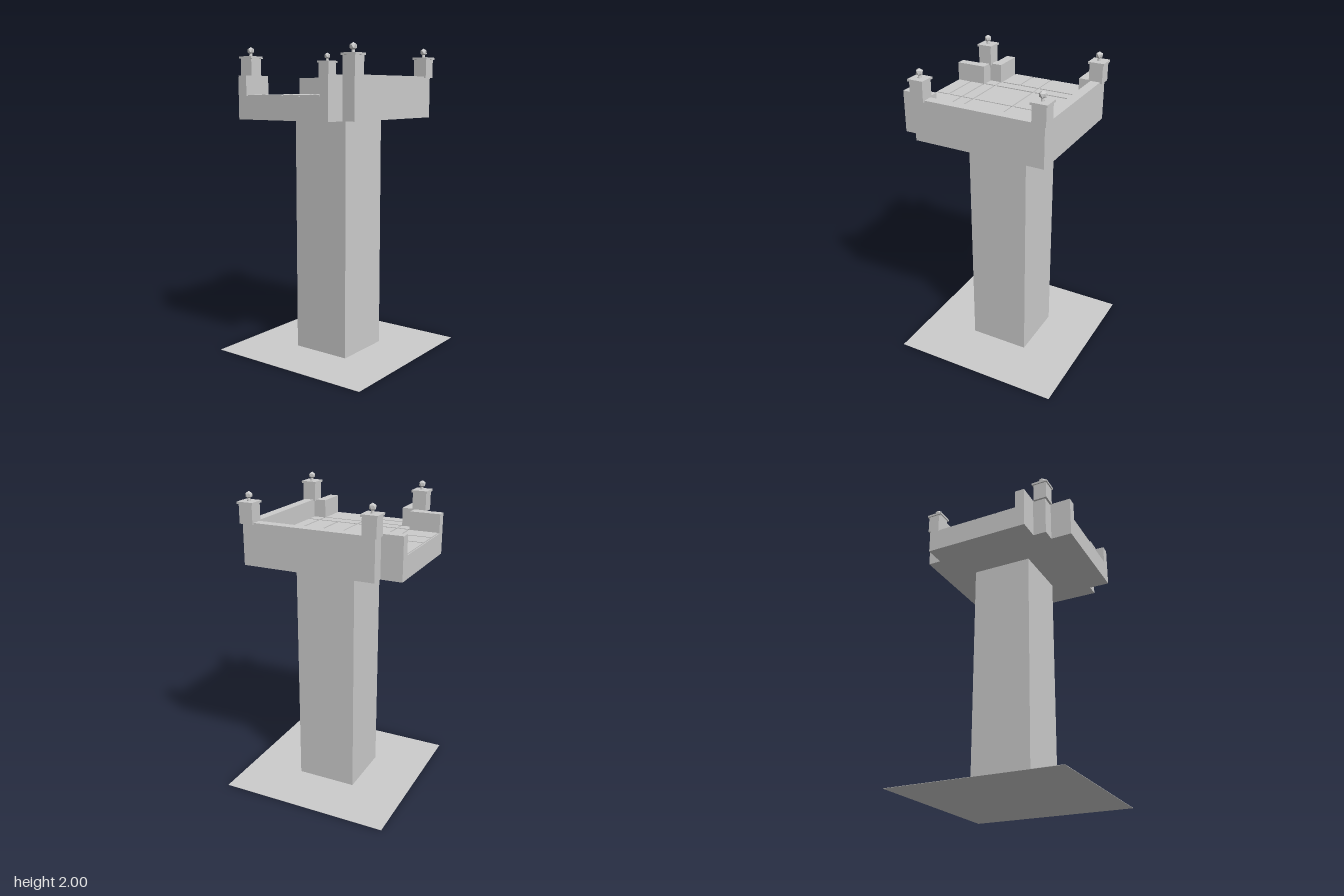
import * as THREE from 'three';

const stone = new THREE.MeshStandardMaterial({ color: 0xcccccc });
stone.name = 'stone';

export function createModel() {
  const root = new THREE.Group();
  root.name = 'watchtower';

  const add = (name, geometry, parent = root) => {
    const mesh = new THREE.Mesh(geometry, stone);
    mesh.name = name;
    parent.add(mesh);
    return mesh;
  };
  // box from its extents
  const box = (name, x0, x1, y0, y1, z0, z1, parent) =>
    add(name, new THREE.BoxGeometry(x1 - x0, y1 - y0, z1 - z0)
      .translate((x0 + x1) / 2, (y0 + y1) / 2, (z0 + z1) / 2), parent);
  // plan outline of [x, z] points raised between two heights
  const plan = (name, points, y0, y1) => {
    const shape = new THREE.Shape(points.map(([x, z]) => new THREE.Vector2(x, z)));
    const geometry = new THREE.ExtrudeGeometry(shape, { depth: y1 - y0, bevelEnabled: false });
    return add(name, geometry.rotateX(Math.PI / 2).translate(0, y1, 0));
  };

  // ground sheet and shaft
  box('groundPlate', -0.568, 0.568, 0, 0.002, -0.568, 0.568);
  box('shaft', -0.2, 0.2, 0, 1.55, -0.2, 0.2);

  // platform: floor, parapet, and the separate corner between the two open wings
  const bottom = 1.55, floorTop = 1.694, tileTop = 1.701, wallTop = 1.818;
  plan('floor', [
    [-0.568, -0.284], [-0.368, -0.284], [-0.368, -0.368], [0.368, -0.368],
    [0.368, 0.368], [0.284, 0.368], [0.284, 0.568], [-0.284, 0.568],
    [-0.284, 0.368], [-0.368, 0.368], [-0.368, 0.284], [-0.568, 0.284],
  ], bottom, floorTop);
  plan('parapet', [
    [-0.568, -0.346], [-0.432, -0.346], [-0.432, -0.432], [0.432, -0.432],
    [0.432, 0.432], [0.346, 0.432], [0.346, 0.568], [0.284, 0.568],
    [0.284, 0.368], [0.368, 0.368], [0.368, -0.368], [-0.368, -0.368],
    [-0.368, -0.284], [-0.568, -0.284],
  ], bottom, wallTop);
  plan('cornerParapet', [
    [-0.568, 0.346], [-0.432, 0.346], [-0.432, 0.432], [-0.346, 0.432],
    [-0.346, 0.568], [-0.284, 0.568], [-0.284, 0.368], [-0.368, 0.368],
    [-0.368, 0.284], [-0.568, 0.284],
  ], bottom, wallTop);

  // paving: each row is a z range with the x ranges of its slabs
  const wing = [-0.562, -0.374], edgeL = [-0.361, -0.291], midL = [-0.277, -0.004];
  const midR = [0.006, 0.279], edgeR = [0.292, 0.362];
  const halfA = [0.006, 0.137], halfB = [0.151, 0.279];
  const paving = [
    [-0.361, -0.291, [edgeL, midL, midR, edgeR]],
    [-0.277, -0.006, [wing, edgeL, midL, halfA, halfB, edgeR]],
    [0.006, 0.274, [edgeL, midL, halfA, halfB, edgeR]],
    [0.006, 0.134, [wing]],
    [0.146, 0.274, [wing]],
    [0.289, 0.361, [edgeL, midL, midR, edgeR]],
    [0.374, 0.461, [midL]],
    [0.475, 0.562, [midL]],
    [0.374, 0.562, [midR]],
  ];
  const tiles = new THREE.Group();
  tiles.name = 'pavingSlabs';
  root.add(tiles);
  for (const [z0, z1, columns] of paving)
    for (const [x0, x1] of columns) box('pavingSlab', x0, x1, floorTop, tileTop, z0, z1, tiles);

  // corner posts with cap, neck and faceted ball
  const ball = new THREE.IcosahedronGeometry(0.024, 0)
    .rotateX(-Math.atan((1 + Math.sqrt(5)) / 2)).translate(0, 1.976, 0);
  const neck = new THREE.CylinderGeometry(0.009, 0.012, 0.02, 8).translate(0, 1.949, 0);
  for (const x of [-0.4, 0.4]) for (const z of [-0.4, 0.4]) {
    const post = new THREE.Group();
    post.name = 'cornerPost';
    post.position.set(x, 0, z);
    root.add(post);
    box('postBody', -0.045, 0.045, 1.808, 1.927, -0.045, 0.045, post);
    box('postCap', -0.053, 0.053, 1.927, 1.941, -0.053, 0.053, post);
    add('finialNeck', neck, post);
    add('finialBall', ball, post);
  }
  return root;
}
